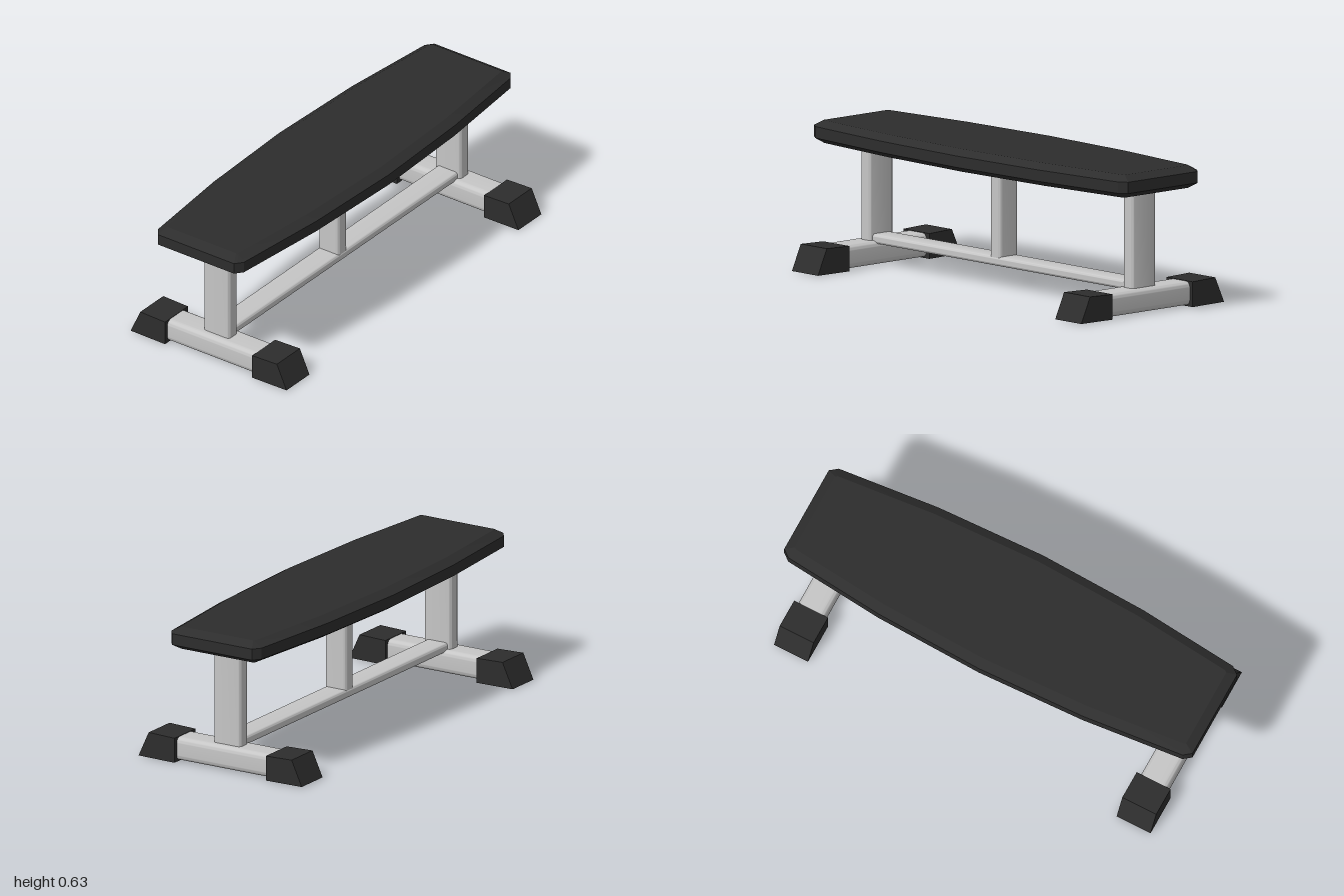
import * as THREE from 'three';
import { toCreasedNormals } from 'three/addons/utils/BufferGeometryUtils.js';

const steel = new THREE.MeshStandardMaterial({ color: 0xc6c6c6 });
steel.name = 'brushedSteel';
const black = new THREE.MeshStandardMaterial({ color: 0x2d2d2d });
black.name = 'blackPadding';

// Rounded rectangle outline centred on the origin
function roundedRect(w, h, r) {
  const s = new THREE.Shape();
  const x = w / 2, y = h / 2;
  s.absarc(x - r, y - r, r, 0, Math.PI / 2);
  s.absarc(-x + r, y - r, r, Math.PI / 2, Math.PI);
  s.absarc(-x + r, -y + r, r, Math.PI, Math.PI * 1.5);
  s.absarc(x - r, -y + r, r, Math.PI * 1.5, Math.PI * 2);
  return s;
}

// Rounded tube running along +z, centred on its length
function tubeGeometry(w, h, length, r) {
  const g = new THREE.ExtrudeGeometry(roundedRect(w, h, r), {
    depth: length, bevelEnabled: false, curveSegments: 5,
  });
  g.translate(0, 0, -length / 2);
  return toCreasedNormals(g, 0.6);
}

export function createModel() {
  const group = new THREE.Group();
  group.name = 'flatBench';
  const add = (name, geometry, material, x = 0, y = 0, z = 0) => {
    const mesh = new THREE.Mesh(geometry, material);
    mesh.name = name;
    mesh.position.set(x, y, z);
    group.add(mesh);
    return mesh;
  };

  // Padded seat: bowed outline with clipped corners and bevelled rims
  const quarter = [[1, 0.205], [0.965, 0.232], [0.5, 0.277], [0, 0.295]];
  const right = quarter.concat(quarter.slice(0, 3).reverse().map(([x, z]) => [-x, z]));
  const outline = right.concat(right.map(([x, z]) => [-x, -z]));
  const seat = new THREE.ExtrudeGeometry(
    new THREE.Shape(outline.map(([x, z]) => new THREE.Vector2(x, z))), {
      depth: 0.05, bevelEnabled: true, bevelThickness: 0.025,
      bevelSize: 0.042, bevelOffset: -0.042, bevelSegments: 1,
    });
  seat.rotateX(-Math.PI / 2);
  add('seatPad', toCreasedNormals(seat, 0.45), black, 0, 0.56, 0);

  // Upright posts
  const post = (name, x, bottom, depth) => {
    const length = 0.54 - bottom;
    const g = tubeGeometry(0.065, depth, length, 0.016).rotateX(-Math.PI / 2);
    add(name, g, steel, x, bottom + length / 2, 0);
  };
  post('rightPost', -0.823, 0.105, 0.14);
  post('centerPost', -0.012, 0.135, 0.11);
  post('leftPost', 0.851, 0.105, 0.14);

  // Long connecting beam
  add('connectingBeam', tubeGeometry(0.11, 0.042, 1.64, 0.014).rotateY(Math.PI / 2),
    steel, 0.014, 0.119, 0);

  // Wedge shaped end cap profile, drawn in z and y
  const wedge = new THREE.Shape([
    [0.235, 0.003], [0.42, 0.005], [0.368, 0.118], [0.235, 0.114],
  ].map(([z, y]) => new THREE.Vector2(z, y)));
  const capGeometry = new THREE.ExtrudeGeometry(wedge, { depth: 0.166, bevelEnabled: false });
  capGeometry.translate(0, 0, -0.083);
  capGeometry.rotateY(-Math.PI / 2);

  // Base tubes with a cap at each end
  for (const [side, x] of [['right', -0.826], ['left', 0.852]]) {
    add(side + 'BaseTube', tubeGeometry(0.13, 0.104, 0.6, 0.025), steel, x, 0.06, 0);
    add(side + 'FrontFoot', capGeometry, black, x);
    add(side + 'BackFoot', capGeometry, black, x).rotation.y = Math.PI;
  }

  return group;
}
